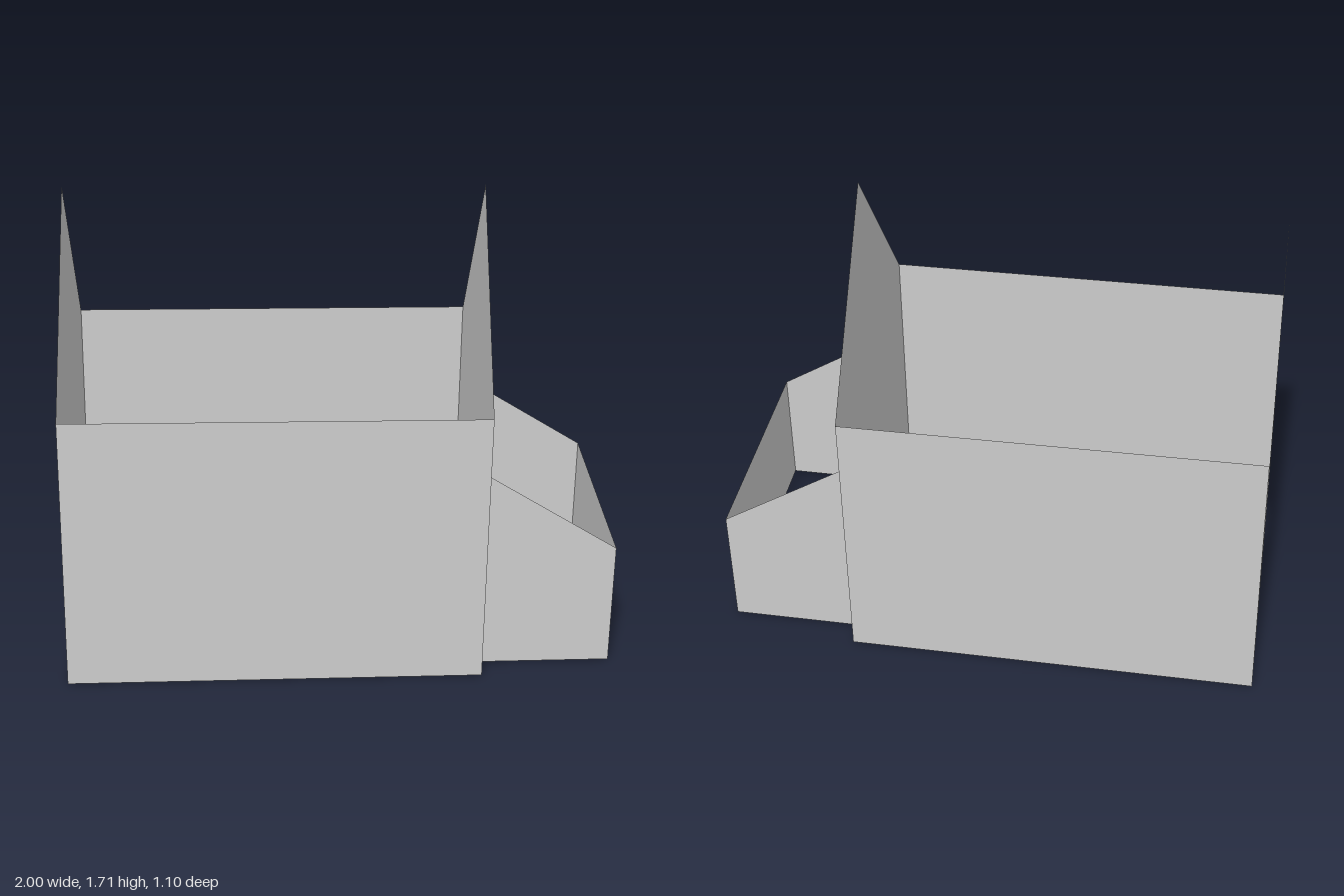
import * as THREE from 'three';

export function createModel() {
  const group = new THREE.Group();
  const plaster = new THREE.MeshStandardMaterial({ color: 0xcccccc, side: THREE.DoubleSide });
  plaster.name = 'light grey';

  // Thin flat panel from its corners, listed counter-clockwise seen from outside
  function panel(name, corners) {
    const index = [];
    for (let i = 1; i < corners.length - 1; i++) index.push(0, i, i + 1);
    const geometry = new THREE.BufferGeometry();
    geometry.setAttribute('position', new THREE.Float32BufferAttribute(corners.flat(), 3));
    geometry.setIndex(index);
    geometry.computeVertexNormals();
    const mesh = new THREE.Mesh(geometry, plaster);
    mesh.name = name;
    group.add(mesh);
  }

  // The walls lean slightly towards +x and -z as they rise
  const lean = (x, y, z) => [x + 0.0145 * y, y, z - 0.0085 * y];
  const left = 0.51, right = -1, front = 0.549, back = -0.541;
  const eaveL = 1.023, eaveR = 1.033, apexL = 1.698, apexR = 1.712;

  // Main house: two long walls and two gables, open above and below
  panel('frontWall', [lean(right, 0, front), lean(left, 0, front), lean(left, eaveL, front), lean(right, eaveR, front)]);
  panel('backWall', [lean(left, 0, back), lean(right, 0, back), lean(right, eaveR, back), lean(left, eaveL, back)]);
  panel('leftGable', [lean(left, 0, front), lean(left, 0, back), lean(left, eaveL, back),
    lean(left, apexL, 0.004), lean(left, eaveL, front)]);
  panel('rightGable', [lean(right, 0, back), lean(right, 0, front), lean(right, eaveR, front),
    lean(right, apexR, 0.004), lean(right, eaveR, back)]);

  // Lean-to: two sloping side walls and a low end wall, without roof or floor
  const end = 0.99, zFront = 0.456, zBack = -0.446, high = 0.763, low = 0.463;
  panel('leanToFrontWall', [lean(left, 0, zFront), lean(end, 0, zFront), lean(end, low, zFront), lean(left, high, zFront)]);
  panel('leanToBackWall', [lean(end, 0, zBack), lean(left, 0, zBack), lean(left, high, zBack), lean(end, low, zBack)]);
  panel('leanToEndWall', [lean(end, 0, zFront), lean(end, 0, zBack), lean(end, low, zBack), lean(end, low, zFront)]);

  return group;
}
